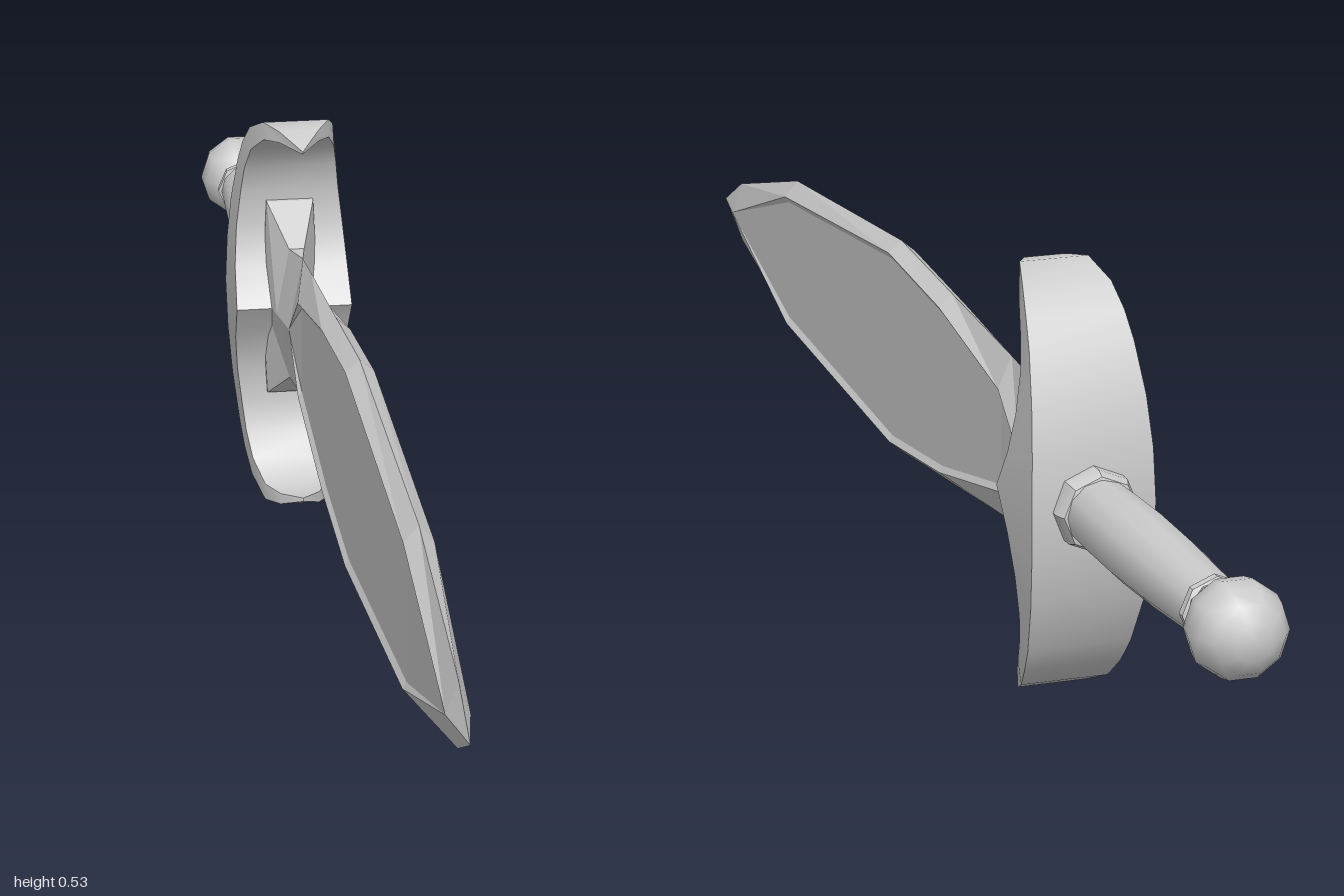
import * as THREE from 'three';
import { toCreasedNormals } from 'three/addons/utils/BufferGeometryUtils.js';

const MID = 0.265; // height of the long axis
const material = new THREE.MeshStandardMaterial({ color: 0xcccccc });

// Skin a list of closed rings; collapsed triangles are dropped.
function loft(rings, crease) {
  const out = [];
  const tri = (a, b, c) => {
    const n = b.clone().sub(a).cross(c.clone().sub(a));
    if (n.length() > 1e-9) for (const p of [a, b, c]) out.push(p.x, p.y, p.z);
  };
  for (let i = 0; i < rings.length - 1; i++) {
    const r = rings[i], s = rings[i + 1], n = r.length;
    for (let j = 0; j < n; j++) {
      const k = (j + 1) % n;
      tri(r[j], r[k], s[k]);
      tri(r[j], s[k], s[j]);
    }
  }
  const g = new THREE.BufferGeometry();
  g.setAttribute('position', new THREE.Float32BufferAttribute(out, 3));
  g.computeVertexNormals();
  return crease ? toCreasedNormals(g, crease) : g;
}

function addMesh(group, name, geometry) {
  const m = new THREE.Mesh(geometry, material);
  m.name = name;
  group.add(m);
}

// Turned part along -z; profile is [radius, distance behind z = 0].
function turned(profile, sides, crease) {
  const pts = profile.map(([r, d]) => new THREE.Vector2(r, d));
  const g = new THREE.LatheGeometry(pts, sides).rotateX(-Math.PI / 2);
  return crease ? toCreasedNormals(g.toNonIndexed(), crease) : g;
}

function bladeGeometry() {
  // z, edge height, edge half width, rim half width, panel half height, centre half width
  const stations = [
    [-0.455, 0.137, 0.031, 0.038, 0, 0.038],
    [-0.425, 0.135, 0.031, 0.037, 0, 0.037],
    [-0.36, 0.09, 0.01, 0.027, 0, 0.027],
    [-0.3, 0.097, 0, 0.019, 0, 0.019],
    [-0.22, 0.105, 0, 0.018, 0.065, 0.013],
    [0, 0.124, 0, 0.018, 0.108, 0.013],
    [0.2, 0.142, 0, 0.018, 0.127, 0.013],
    [0.65, 0.111, 0, 0.018, 0.09, 0.013],
    [0.92, 0.041, 0, 0.014, 0, 0.014],
    [1, 0, 0, 0, 0, 0],
  ];
  const rings = stations.map(([z, h, w, t, p, c]) => {
    const q = Math.max(p - 0.008, 0);
    const side = [[w, -h], [t, -p], [c, -q], [c, q], [t, p], [w, h]];
    const other = side.map(([x, y]) => [-x, y]).reverse();
    return [...side, ...other].map(([x, y]) => new THREE.Vector3(x, y, z));
  });
  return loft(rings);
}

function guardGeometry() {
  // back z, back height, front z, front height, half width; centre to hooked tip
  const half = [
    [-0.505, 0, -0.382, 0, 0.077],
    [-0.5, 0.065, -0.415, 0.05, 0.075],
    [-0.486, 0.125, -0.431, 0.1, 0.071],
    [-0.46, 0.185, -0.43, 0.15, 0.065],
    [-0.438, 0.217, -0.42, 0.186, 0.061],
    [-0.41, 0.245, -0.398, 0.218, 0.055],
    [-0.365, 0.265, -0.362, 0.242, 0.043],
    [-0.335, 0.261, -0.335, 0.246, 0.026],
    [-0.298, 0.244, -0.3, 0.24, 0],
  ];
  const lower = half.slice(1).reverse().map(([a, b, c, d, w]) => [a, -b, c, -d, w]);
  const rings = [...lower, ...half].map(([bz, by, fz, fy, w]) => [
    new THREE.Vector3(w, fy, fz),
    new THREE.Vector3(w, by, bz),
    new THREE.Vector3(-w, by, bz),
    new THREE.Vector3(-w, fy, fz),
  ]);
  return loft(rings, 0.6);
}

export function createModel() {
  const group = new THREE.Group();
  group.name = 'dagger';
  const body = new THREE.Group();
  body.name = 'daggerBody';
  body.position.y = MID;
  group.add(body);

  addMesh(body, 'blade', bladeGeometry());
  addMesh(body, 'guard', guardGeometry());

  // Grip with a slight swell, and a collar at each end
  addMesh(body, 'grip', turned(
    [[0.041, 0.49], [0.044, 0.58], [0.045, 0.66], [0.043, 0.75], [0.036, 0.89]], 12));
  addMesh(body, 'frontCollar', turned(
    [[0.04, 0.495], [0.051, 0.5], [0.051, 0.518], [0.046, 0.53], [0.038, 0.532]], 8, 0.6));
  addMesh(body, 'rearCollar', turned(
    [[0.03, 0.872], [0.041, 0.876], [0.041, 0.886], [0.03, 0.892]], 8, 0.6));

  // Round pommel
  const pommel = new THREE.SphereGeometry(0.058, 10, 8).rotateX(-Math.PI / 2);
  pommel.translate(0, 0, -0.942);
  addMesh(body, 'pommel', pommel);

  return group;
}
